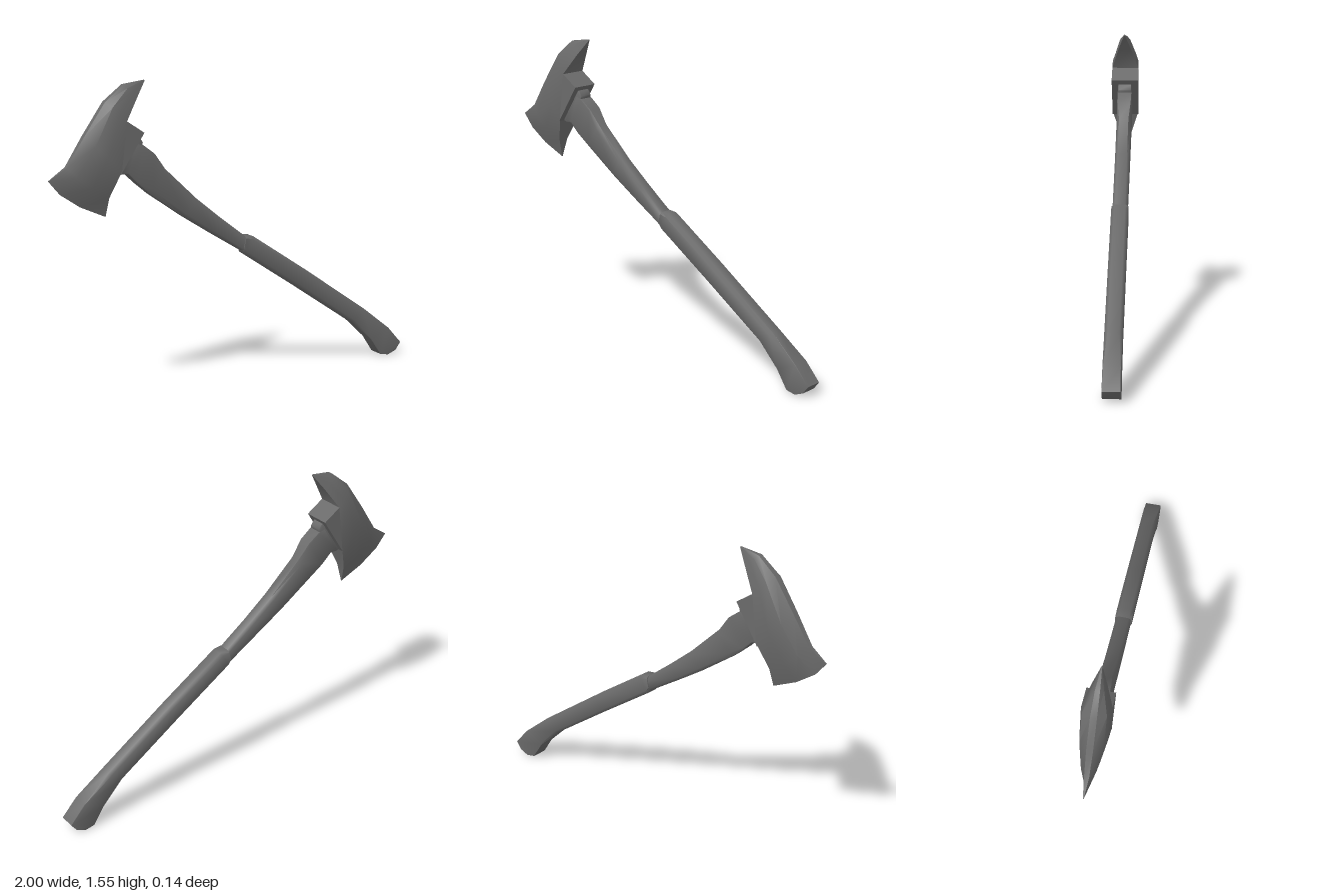
import * as THREE from 'three';
import { toCreasedNormals } from 'three/addons/utils/BufferGeometryUtils.js';

const material = new THREE.MeshStandardMaterial({ color: 0x6a6a6a });

// Closed cross-section between an upper and a lower outline point.
// profile: [share of the way from upper to lower, half thickness]; mirrored in z.
function ring([tx, ty], [bx, by], profile, bulge = 0) {
  const len = Math.hypot(tx - bx, ty - by);
  const nx = (by - ty) / len, ny = (tx - bx) / len;
  const half = profile.map(([u, z]) => {
    const out = u > 0 && u < 1 ? bulge : 0;
    return [tx + (bx - tx) * u + nx * out, ty + (by - ty) * u + ny * out, z];
  });
  return [...half, ...half.map(([x, y, z]) => [x, y, -z]).reverse()];
}

// Skin through equal-sized rings, capped at both ends.
function loft(name, rings, crease) {
  const n = rings[0].length, index = [];
  for (let i = 0; i < rings.length - 1; i++) {
    for (let j = 0; j < n; j++) {
      const a = i * n + j, b = i * n + (j + 1) % n;
      index.push(a, b, b + n, a, b + n, a + n);
    }
  }
  const last = (rings.length - 1) * n;
  for (let j = 0; j < n / 2 - 1; j++) {
    const k = n - 1 - j;
    index.push(j, k, k - 1, j, k - 1, j + 1);
    index.push(last + j, last + k - 1, last + k, last + j, last + j + 1, last + k - 1);
  }
  const geometry = new THREE.BufferGeometry();
  geometry.setAttribute('position', new THREE.Float32BufferAttribute(rings.flat(2), 3));
  geometry.setIndex(index);
  const mesh = new THREE.Mesh(toCreasedNormals(geometry, crease), material);
  mesh.name = name;
  return mesh;
}

// Bar following pairs of upper and lower outline points; the third value
// is how flat its edges are (1 is square, lower is more chamfered).
function bar(name, sections, w) {
  return loft(name, sections.map(([t, b, flat = 0.65]) => {
    const cut = (1 - flat) * 0.4 + 0.01;
    return ring(t, b, [[0, w * flat], [cut, w], [1 - cut, w], [1, w * flat]]);
  }), 0.95);
}

export function createModel() {
  const axe = new THREE.Group();
  axe.name = 'axe';

  // Wooden shaft, flared towards the head
  axe.add(bar('shaft', [
    [[-0.555, 1.245], [-0.64, 1.11], 0.95],
    [[-0.52, 1.235], [-0.60, 1.10], 0.95],
    [[-0.46, 1.19], [-0.55, 1.05], 0.9],
    [[-0.40, 1.11], [-0.48, 0.99]],
    [[-0.23, 0.95], [-0.30, 0.865]],
    [[-0.10, 0.845], [-0.15, 0.77]],
    [[0.07, 0.715], [0.03, 0.66]],
  ], 0.038));

  // Thicker grip with a curved, flared end
  axe.add(bar('grip', [
    [[0.045, 0.735], [0.03, 0.67]],
    [[0.09, 0.73], [0.04, 0.645]],
    [[0.40, 0.525], [0.35, 0.44]],
    [[0.77, 0.27], [0.69, 0.21]],
    [[0.92, 0.15], [0.81, 0.10], 0.95],
    [[1.0, 0.06], [0.87, 0.01], 0.98],
    [[0.97, 0.02], [0.92, 0.0], 0.98],
  ], 0.043));

  // Lip where the shaft enters the eye
  axe.add(bar('eyeLip', [
    [[-0.56, 1.29], [-0.67, 1.11], 0.9],
    [[-0.54, 1.275], [-0.64, 1.10], 0.9],
    [[-0.522, 1.25], [-0.61, 1.10], 0.9],
    [[-0.525, 1.235], [-0.60, 1.115], 0.9],
  ], 0.0365));

  // Head: cutting edge, cheeks, then the pick; thin along its back ridge.
  // Each station: back point, eye-side point, half thickness at ridge, cheek and eye side, bulge
  const stations = [
    [[-1.0, 1.09], [-0.71, 0.895], 0.002, 0.002, 0.002, 0.025],
    [[-0.91, 1.15], [-0.70, 0.99], 0.012, 0.044, 0.028, 0.01],
    [[-0.82, 1.29], [-0.65, 1.12], 0.016, 0.069, 0.07, 0],
    [[-0.71, 1.45], [-0.62, 1.36], 0.016, 0.069, 0.07, 0],
    [[-0.61, 1.53], [-0.55, 1.465], 0.012, 0.032, 0.034, 0],
    [[-0.497, 1.547], [-0.494, 1.543], 0.002, 0.002, 0.002, 0],
  ];
  axe.add(loft('head', stations.map(([t, b, ridge, cheek, eye, bulge]) => ring(t, b, [
    [0, ridge], [0.25, ridge + (cheek - ridge) * 0.78], [0.6, cheek], [1, eye],
  ], bulge)), 0.6));

  // Square collar around the eye
  const outline = new THREE.Shape([
    [-0.62, 1.36], [-0.65, 1.12], [-0.655, 1.105], [-0.53, 1.30],
  ].map(([x, y]) => new THREE.Vector2(x, y)));
  const collar = new THREE.Mesh(
    new THREE.ExtrudeGeometry(outline, { depth: 0.14, bevelEnabled: false }), material);
  collar.position.z = -0.07;
  collar.name = 'collar';
  axe.add(collar);

  return axe;
}
